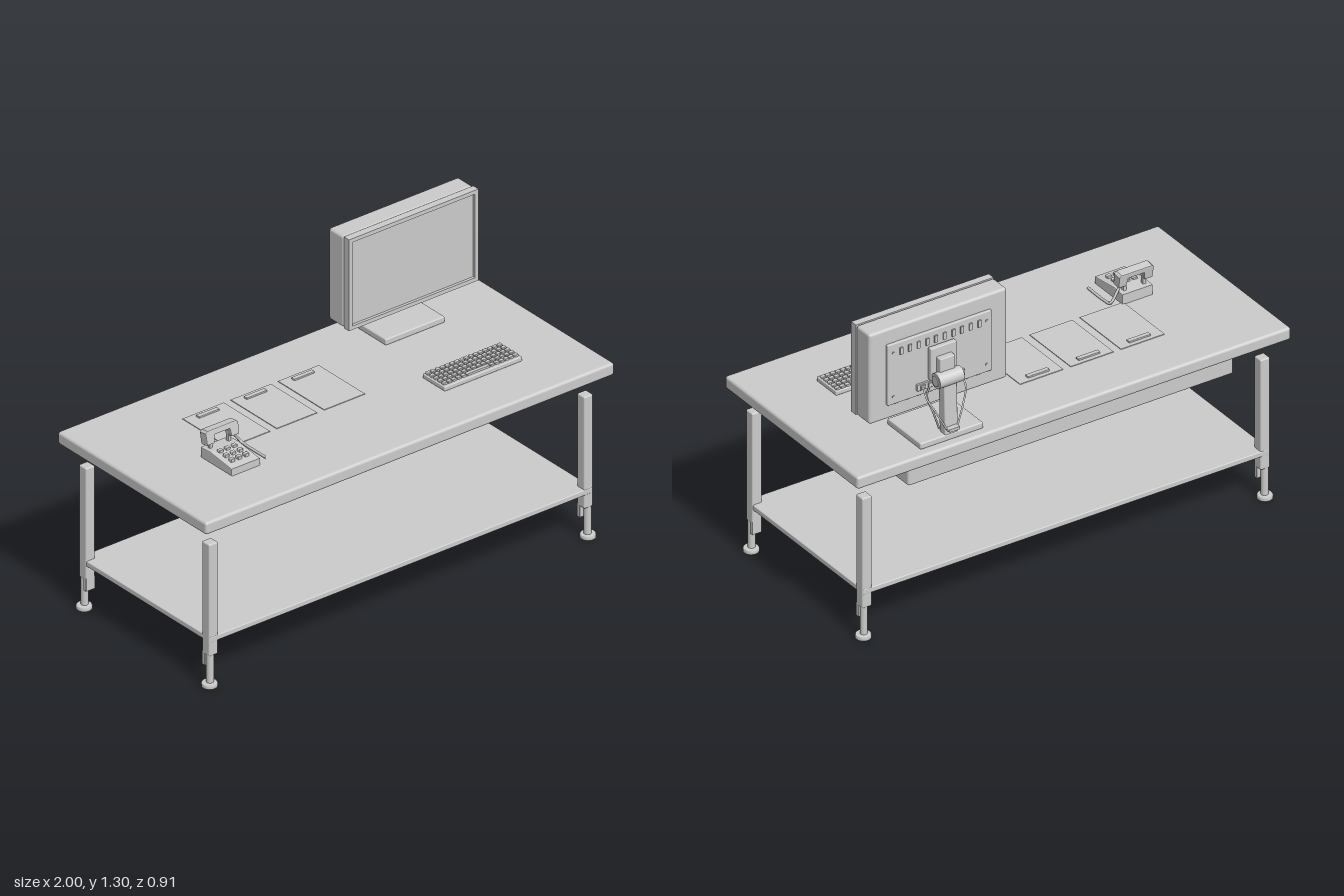
import * as THREE from 'three';
import { RoundedBoxGeometry } from 'three/addons/geometries/RoundedBoxGeometry.js';

const grey = new THREE.MeshStandardMaterial({ color: 0xcccccc });
grey.name = 'plain grey';

function add(parent, name, geometry, x = 0, y = 0, z = 0) {
  const mesh = new THREE.Mesh(geometry, grey);
  mesh.name = name;
  mesh.position.set(x, y, z);
  parent.add(mesh);
  return mesh;
}

// Box given by its limits on each axis; r rounds the edges
function block(parent, name, [x0, x1], [y0, y1], [z0, z1], r = 0) {
  const size = [x1 - x0, y1 - y0, z1 - z0];
  const geometry = r ? new RoundedBoxGeometry(...size, 2, r) : new THREE.BoxGeometry(...size);
  return add(parent, name, geometry, (x0 + x1) / 2, (y0 + y1) / 2, (z0 + z1) / 2);
}

function cable(parent, name, points, radius) {
  const curve = new THREE.CatmullRomCurve3(points.map((p) => new THREE.Vector3(...p)));
  return add(parent, name, new THREE.TubeGeometry(curve, 20, radius, 6), 0, 0, 0);
}

function group(parent, name) {
  const g = new THREE.Group();
  g.name = name;
  parent.add(g);
  return g;
}

function buildTable(root) {
  const table = group(root, 'table');
  block(table, 'tabletop', [-1, 1], [0.719, 0.774], [-0.457, 0.457], 0.012);
  block(table, 'shelf', [-0.937, 0.937], [0.2, 0.224], [-0.402, 0.402], 0.004);
  block(table, 'cableTray', [-0.755, 0.745], [0.633, 0.714], [-0.425, -0.326], 0.01);
  for (const x of [0.54, 0.56]) {
    add(table, 'cableEnd', new THREE.CylinderGeometry(0.005, 0.005, 0.125, 8), x, 0.657, -0.342);
  }
  // Legs with an inner tongue, a stem and a round foot
  for (const sx of [-1, 1]) {
    for (const sz of [-1, 1]) {
      const leg = group(table, 'leg');
      leg.position.set(sx * 0.918, 0, sz * 0.378);
      block(leg, 'post', [-0.022, 0.022], [0.14, 0.632], [-0.023, 0.023], 0.006);
      const tongue = block(leg, 'tongue', [-0.022, 0.022], [0.09, 0.15], [-0.009, 0.009], 0.003);
      tongue.position.z = -sz * 0.014;
      add(leg, 'stem', new THREE.CylinderGeometry(0.015, 0.015, 0.13, 16), sx * 0.006, 0.08, sz * 0.007);
      const foot = [[0, 0], [0.029, 0], [0.032, 0.003], [0.032, 0.016], [0.029, 0.02], [0, 0.02]];
      const profile = foot.map((p) => new THREE.Vector2(...p));
      add(leg, 'foot', new THREE.LatheGeometry(profile, 20), sx * 0.008, 0, sz * 0.007);
    }
  }
}

function buildMonitor(root) {
  const monitor = group(root, 'monitor');
  const cx = 0.54;
  block(monitor, 'housing', [0.222, 0.857], [0.895, 1.297], [-0.325, -0.232], 0.012);

  // Bezel with an opening for the recessed screen
  const bezel = new THREE.Shape([[-0.317, -0.201], [0.317, -0.201], [0.317, 0.201], [-0.317, 0.201]]
    .map((p) => new THREE.Vector2(...p)));
  bezel.holes.push(new THREE.Path([[-0.3, -0.184], [-0.3, 0.184], [0.3, 0.184], [0.3, -0.184]]
    .map((p) => new THREE.Vector2(...p))));
  add(monitor, 'bezel', new THREE.ExtrudeGeometry(bezel, { depth: 0.032, bevelEnabled: false }), cx, 1.096, -0.232);
  block(monitor, 'screen', [0.238, 0.842], [0.911, 1.281], [-0.235, -0.212]);

  // Rear panel with vents, screws and sockets
  block(monitor, 'rearPanel', [0.3, 0.78], [0.96, 1.23], [-0.337, -0.32], 0.004);
  for (let i = 0; i < 10; i++) {
    const x = 0.36 + i * 0.04;
    block(monitor, 'vent', [x - 0.007, x + 0.007], [1.175, 1.205], [-0.343, -0.335]);
  }
  for (const x of [0.325, 0.755]) {
    for (const y of [0.995, 1.19]) {
      const screw = add(monitor, 'screw', new THREE.CylinderGeometry(0.006, 0.006, 0.006, 10), x, y, -0.338);
      screw.rotation.x = Math.PI / 2;
    }
  }
  block(monitor, 'socketStrip', [0.43, 0.65], [0.985, 1.015], [-0.346, -0.335], 0.003);
  for (const x of [0.455, 0.49, 0.59, 0.625]) {
    block(monitor, 'plug', [x - 0.011, x + 0.011], [0.991, 1.009], [-0.352, -0.34]);
  }

  // Mount, hinge and column
  block(monitor, 'mountSpacer', [0.505, 0.575], [1.04, 1.15], [-0.35, -0.33]);
  block(monitor, 'mountPlate', [0.48, 0.6], [1.025, 1.168], [-0.365, -0.343], 0.004);
  block(monitor, 'mountArm', [0.505, 0.575], [1.0, 1.127], [-0.392, -0.36], 0.004);
  const hinge = add(monitor, 'hinge', new THREE.CylinderGeometry(0.032, 0.032, 0.112, 24), cx, 1.038, -0.392);
  hinge.rotation.z = Math.PI / 2;
  for (const s of [-1, 1]) {
    const cap = add(monitor, 'hingeCap', new THREE.CylinderGeometry(0.022, 0.022, 0.004, 24), cx + s * 0.058, 1.038, -0.392);
    cap.rotation.z = Math.PI / 2;
  }
  const column = block(monitor, 'column', [0.51, 0.57], [0.795, 1.05], [-0.414, -0.374], 0.005);
  column.rotation.x = 0.03;
  block(monitor, 'standBase', [0.395, 0.685], [0.774, 0.802], [-0.42, -0.19], 0.006);

  // Cables looping from the sockets to the column foot
  for (const s of [-1, 1]) {
    cable(monitor, 'monitorCable', [[cx + s * 0.05, 1.0, -0.345], [cx + s * 0.065, 0.95, -0.345],
      [cx + s * 0.05, 0.88, -0.368], [cx + s * 0.028, 0.81, -0.372]], 0.004);
    cable(monitor, 'rearCable', [[cx + s * 0.085, 1.0, -0.35], [cx + s * 0.09, 0.965, -0.38],
      [cx + s * 0.06, 0.9, -0.405], [cx + s * 0.025, 0.828, -0.42]], 0.004);
  }
  block(monitor, 'cableClip', [0.515, 0.565], [0.82, 0.834], [-0.44, -0.4], 0.003);
}

function buildKeyboard(root) {
  const keyboard = group(root, 'keyboard');
  block(keyboard, 'keyboardBody', [0.35, 0.73], [0.774, 0.794], [0.093, 0.228], 0.004);
  const key = new RoundedBoxGeometry(0.019, 0.012, 0.018, 1, 0.003);
  for (let row = 0; row < 5; row++) {
    for (let col = 0; col < 16; col++) {
      if (row === 4 && col > 4 && col < 10) continue;
      add(keyboard, 'key', key, 0.366 + col * 0.0232, 0.797, 0.108 + row * 0.0245);
    }
  }
  block(keyboard, 'spaceBar', [0.473, 0.584], [0.791, 0.803], [0.197, 0.215], 0.003);
}

function buildPhone(root) {
  const phone = group(root, 'phone');
  const cx = -0.626;

  // Wedge-shaped body, lower at the front
  const side = new THREE.Shape([[-0.232, 0.774], [-0.042, 0.774], [-0.042, 0.818], [-0.1, 0.822], [-0.232, 0.805]]
    .map((p) => new THREE.Vector2(...p)));
  const body = add(phone, 'phoneBody', new THREE.ExtrudeGeometry(side,
    { depth: 0.132, bevelThickness: 0.004, bevelSize: 0.003, bevelOffset: -0.003, bevelSegments: 2 }), cx - 0.066, 0, 0);
  body.rotation.y = Math.PI / 2;
  for (let row = 0; row < 3; row++) {
    for (let col = -1; col <= 1; col++) {
      block(phone, 'phoneButton', [cx + col * 0.034 - 0.01, cx + col * 0.034 + 0.01],
        [0.806, 0.829 - row * 0.003], [0.108 + row * 0.036, 0.126 + row * 0.036], 0.003);
    }
  }

  // Cradle posts and the arched handset
  for (const s of [-1, 1]) {
    block(phone, 'cradlePost', [cx + s * 0.045 - 0.006, cx + s * 0.045 + 0.006], [0.81, 0.86], [0.062, 0.076]);
  }
  const arch = new THREE.Shape([[-0.078, -0.03], [-0.042, -0.03], [-0.036, 0.004], [0.036, 0.004],
    [0.042, -0.03], [0.078, -0.03], [0.08, 0.02], [0.07, 0.029], [-0.07, 0.029], [-0.08, 0.02]]
    .map((p) => new THREE.Vector2(...p)));
  const handsetGeometry = new THREE.ExtrudeGeometry(arch,
    { depth: 0.03, bevelThickness: 0.005, bevelSize: 0.004, bevelOffset: -0.004, bevelSegments: 2 });
  handsetGeometry.translate(0, 0, -0.015);
  const handset = add(phone, 'handset', handsetGeometry, cx, 0.875, 0.07);
  handset.rotation.x = -0.15;
  cable(phone, 'phoneCord', [[-0.56, 0.85, 0.065], [-0.54, 0.822, 0.06], [-0.513, 0.787, 0.06],
    [-0.51, 0.781, 0.1], [-0.51, 0.781, 0.21]], 0.006);
}

function buildPapers(root) {
  // Three sheets, each with a small clip along its rear edge
  [[-0.567, -0.366], [-0.332, -0.135], [-0.1, 0.099]].forEach(([x0, x1]) => {
    const sheet = group(root, 'paper');
    block(sheet, 'sheet', [x0, x1], [0.773, 0.777], [-0.23, 0.053]);
    const mid = (x0 + x1) / 2;
    block(sheet, 'clip', [mid - 0.05, mid + 0.05], [0.776, 0.784], [-0.212, -0.192], 0.002);
  });
}

export function createModel() {
  const root = new THREE.Group();
  root.name = 'officeDesk';
  buildTable(root);
  buildMonitor(root);
  buildKeyboard(root);
  buildPhone(root);
  buildPapers(root);
  return root;
}
